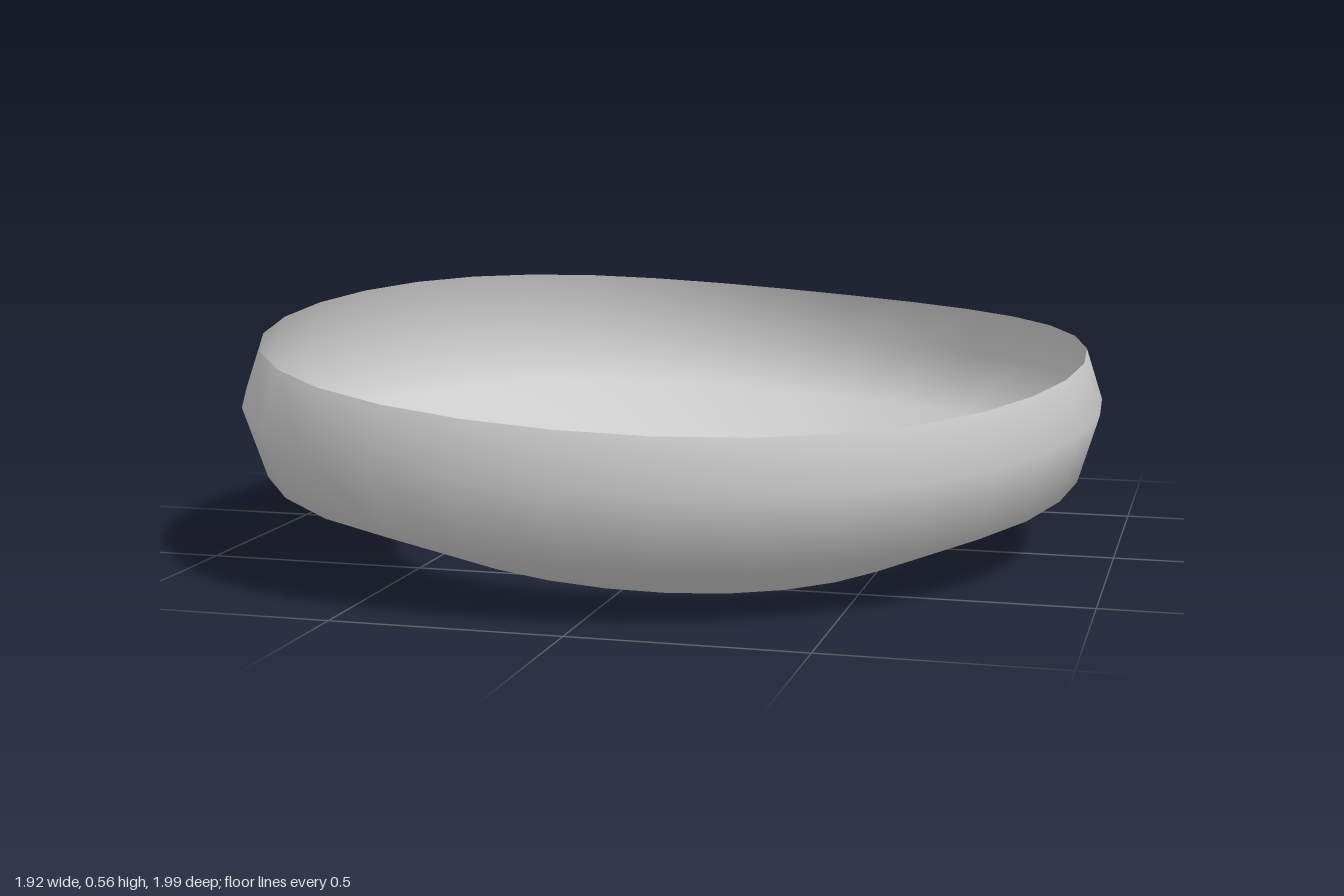
import * as THREE from 'three';

const SEGMENTS = 32;

// Slightly skewed oval outline seen from above
function outline(t) {
  const c3 = Math.cos(3 * t) + Math.sin(3 * t);
  const x = 0.97 * Math.cos(t) - 0.04 * Math.sin(t) + 0.017 * Math.sin(2 * t) - 0.01 * c3 - 0.002;
  const z = Math.sin(t) - 0.05 * Math.cos(t) + 0.005
    + 0.01 * Math.cos(2 * t) - 0.022 * Math.sin(2 * t) + 0.005 * c3;
  return [x, z];
}

// Tilt and gentle warp of the band: low at front left, high at back right
function wave(t) {
  return -0.054 * (Math.cos(t) + Math.sin(t)) + 0.02 * Math.cos(2 * t)
    + 0.004 * (Math.cos(3 * t) - Math.sin(3 * t));
}

// Rings from the bottom opening up to the rim
const RINGS = [
  { scale: 0.642, y: 0.064, tilt: 0.72 },
  { scale: 0.95, y: 0.195, tilt: 0.9 },
  { scale: 1.0, y: 0.353, tilt: 0.9 },
  { scale: 0.96, y: 0.475, tilt: 1.0 },
];

// Skin the rings into one open wall
function loft(rings) {
  const positions = [];
  const indices = [];
  rings.forEach(({ scale, y, tilt }, r) => {
    for (let i = 0; i < SEGMENTS; i++) {
      const t = (i / SEGMENTS) * Math.PI * 2;
      const [x, z] = outline(t);
      positions.push(x * scale, y + wave(t) * tilt, z * scale);
      if (r === 0) continue;
      const j = (i + 1) % SEGMENTS;
      const low = (r - 1) * SEGMENTS;
      const high = r * SEGMENTS;
      indices.push(low + i, high + i, high + j, low + i, high + j, low + j);
    }
  });
  const geometry = new THREE.BufferGeometry();
  geometry.setAttribute('position', new THREE.Float32BufferAttribute(positions, 3));
  geometry.setIndex(indices);
  geometry.computeVertexNormals();
  return geometry;
}

export function createModel() {
  const group = new THREE.Group();
  group.name = 'openBand';
  const material = new THREE.MeshStandardMaterial({ color: 0xcccccc, side: THREE.DoubleSide });
  const band = new THREE.Mesh(loft(RINGS), material);
  band.name = 'band';
  group.add(band);
  return group;
}
